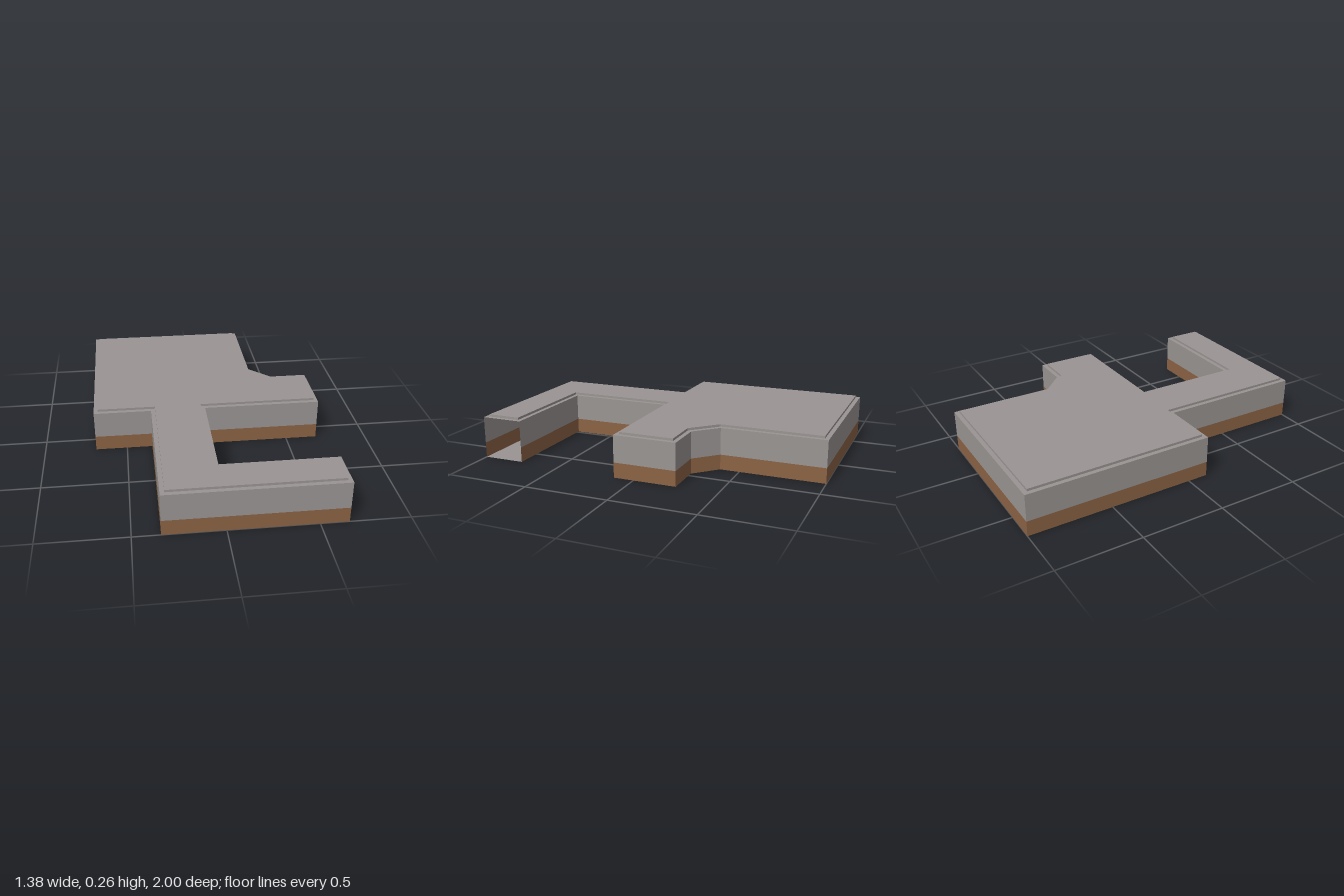
import * as THREE from 'three';

// Footprint as [x, z], running clockwise seen from above
const OUTLINE = [
  [-0.69, -1], [0.335, -1], [0.335, -0.385], [0.465, -0.255], [0.69, -0.255],
  [0.69, 0.12], [-0.015, 0.12], [-0.015, 0.75], [0.66, 0.75], [0.66, 1],
  [-0.345, 1], [-0.345, 0.12], [-0.69, 0.12],
];
const OPEN_EDGE = 8; // the end of the foot has no wall
const BASE_TOP = 0.09, WALL_TOP = 0.25, ROOF_TOP = 0.264, INSET = 0.025;

// Move every edge inwards by d, with mitred corners
function insetOutline(points, d) {
  const n = points.length;
  const inward = points.map(([x, z], i) => {
    const [x2, z2] = points[(i + 1) % n];
    const len = Math.hypot(x2 - x, z2 - z);
    return [-(z2 - z) / len, (x2 - x) / len];
  });
  return points.map(([x, z], i) => {
    const a = inward[(i + n - 1) % n], b = inward[i];
    const k = d / (1 + a[0] * b[0] + a[1] * b[1]);
    return [x + k * (a[0] + b[0]), z + k * (a[1] + b[1])];
  });
}

const toVectors = (points) => points.map(([x, z]) => new THREE.Vector2(x, -z));

// One flat quad per footprint edge, between two heights
function wallBand(y0, y1) {
  const pos = [];
  OUTLINE.forEach(([ax, az], i) => {
    if (i === OPEN_EDGE) return;
    const [bx, bz] = OUTLINE[(i + 1) % OUTLINE.length];
    pos.push(ax, y0, az, ax, y1, az, bx, y1, bz);
    pos.push(ax, y0, az, bx, y1, bz, bx, y0, bz);
  });
  const geometry = new THREE.BufferGeometry();
  geometry.setAttribute('position', new THREE.Float32BufferAttribute(pos, 3));
  geometry.computeVertexNormals();
  return geometry;
}

export function createModel() {
  const stone = new THREE.MeshStandardMaterial({ color: 0x9a9593, side: THREE.DoubleSide });
  stone.name = 'grey stone';
  const brick = new THREE.MeshStandardMaterial({ color: 0x8c6345, side: THREE.DoubleSide });
  brick.name = 'brown base';

  const group = new THREE.Group();
  group.name = 'building';
  const add = (name, geometry, material, y = 0) => {
    const mesh = new THREE.Mesh(geometry, material);
    mesh.name = name;
    mesh.position.y = y;
    group.add(mesh);
  };

  // Hollow walls in two bands
  add('lowerWalls', wallBand(0, BASE_TOP), brick);
  add('upperWalls', wallBand(BASE_TOP, WALL_TOP), stone);

  // Floor
  const footprint = new THREE.Shape(toVectors(OUTLINE));
  add('floor', new THREE.ShapeGeometry(footprint).rotateX(-Math.PI / 2), stone);

  // Narrow ledge along the wall tops
  const inner = toVectors(insetOutline(OUTLINE, INSET));
  const ledge = new THREE.Shape(toVectors(OUTLINE));
  ledge.holes.push(new THREE.Path(inner));
  add('roofLedge', new THREE.ShapeGeometry(ledge).rotateX(-Math.PI / 2), stone, WALL_TOP);

  // Raised roof slab
  const slab = new THREE.ExtrudeGeometry(new THREE.Shape(inner), {
    depth: ROOF_TOP - WALL_TOP, bevelEnabled: false,
  }).rotateX(-Math.PI / 2);
  add('roofSlab', slab, stone, WALL_TOP);

  return group;
}
